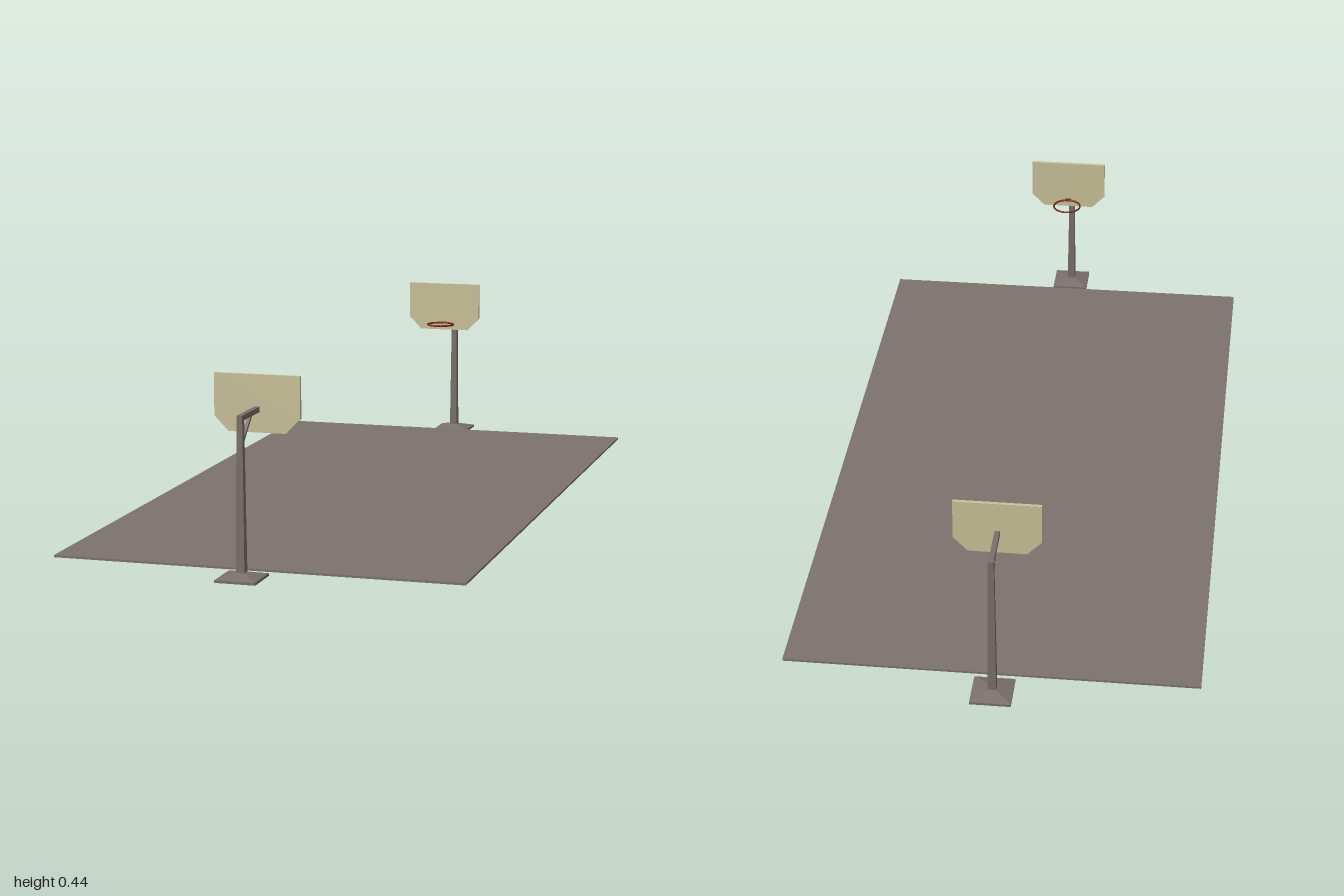
import * as THREE from 'three';

const material = (name, color) => {
  const m = new THREE.MeshStandardMaterial({ color });
  m.name = name;
  return m;
};

export function createModel() {
  const model = new THREE.Group();
  model.name = 'basketballCourt';
  const courtGrey = material('courtGrey', 0x7d736e);
  const postGrey = material('postGrey', 0x7b706b);
  const boardCream = material('boardCream', 0xcbc39b);
  const ringRed = material('ringRed', 0x7e2c1c);

  function add(parent, name, geometry, mat, x = 0, y = 0, z = 0) {
    const mesh = new THREE.Mesh(geometry, mat);
    mesh.name = name;
    mesh.position.set(x, y, z);
    parent.add(mesh);
    return mesh;
  }

  // square tapered block with flat faces, given side lengths
  function taper(top, bottom, height) {
    const g = new THREE.CylinderGeometry(top / Math.SQRT2, bottom / Math.SQRT2, height, 4)
      .rotateY(Math.PI / 4).toNonIndexed();
    g.computeVertexNormals();
    return g;
  }

  // one stand; the outside of the court is local +z
  function createHoop(name) {
    const hoop = new THREE.Group();
    hoop.name = name;

    // foot and post
    add(hoop, 'basePlate', new THREE.BoxGeometry(0.094, 0.006, 0.094), postGrey, 0, 0.003, 0.953);
    add(hoop, 'baseSlope', taper(0.022, 0.094, 0.01), postGrey, 0, 0.011, 0.953);
    add(hoop, 'post', taper(0.013, 0.02, 0.35), postGrey, 0, 0.19, 0.953);

    // arm and diagonal brace
    add(hoop, 'arm', new THREE.BoxGeometry(0.012, 0.012, 0.121), postGrey, 0, 0.359, 0.8985);
    const from = new THREE.Vector3(0, 0.298, 0.95);
    const to = new THREE.Vector3(0, 0.355, 0.885);
    const brace = add(hoop, 'brace', new THREE.BoxGeometry(0.007, 0.007, from.distanceTo(to)), postGrey);
    brace.position.copy(from).lerp(to, 0.5);
    brace.lookAt(to);

    // backboard with cut lower corners
    const outline = [[-0.1, 0.437], [-0.1, 0.341], [-0.067, 0.307], [0.067, 0.307], [0.1, 0.341], [0.1, 0.437]];
    const shape = new THREE.Shape(outline.map(([x, y]) => new THREE.Vector2(x, y)));
    add(hoop, 'backboard', new THREE.ExtrudeGeometry(shape, { depth: 0.008, bevelEnabled: false }),
      boardCream, 0, 0, 0.831);

    // ring and its bracket
    add(hoop, 'ring', new THREE.TorusGeometry(0.036, 0.0025, 8, 32).rotateX(Math.PI / 2),
      ringRed, 0, 0.327, 0.79);
    add(hoop, 'ringBracket', new THREE.BoxGeometry(0.016, 0.005, 0.008), ringRed, 0, 0.327, 0.828);
    return hoop;
  }

  // playing surface
  add(model, 'court', new THREE.BoxGeometry(0.96, 0.005, 1.786), courtGrey, 0, 0.0075, -0.002);

  const frontHoop = createHoop('frontHoop');
  frontHoop.position.x = -0.01;
  const backHoop = createHoop('backHoop');
  backHoop.rotation.y = Math.PI;
  backHoop.position.x = -0.012;
  model.add(frontHoop, backHoop);
  return model;
}
